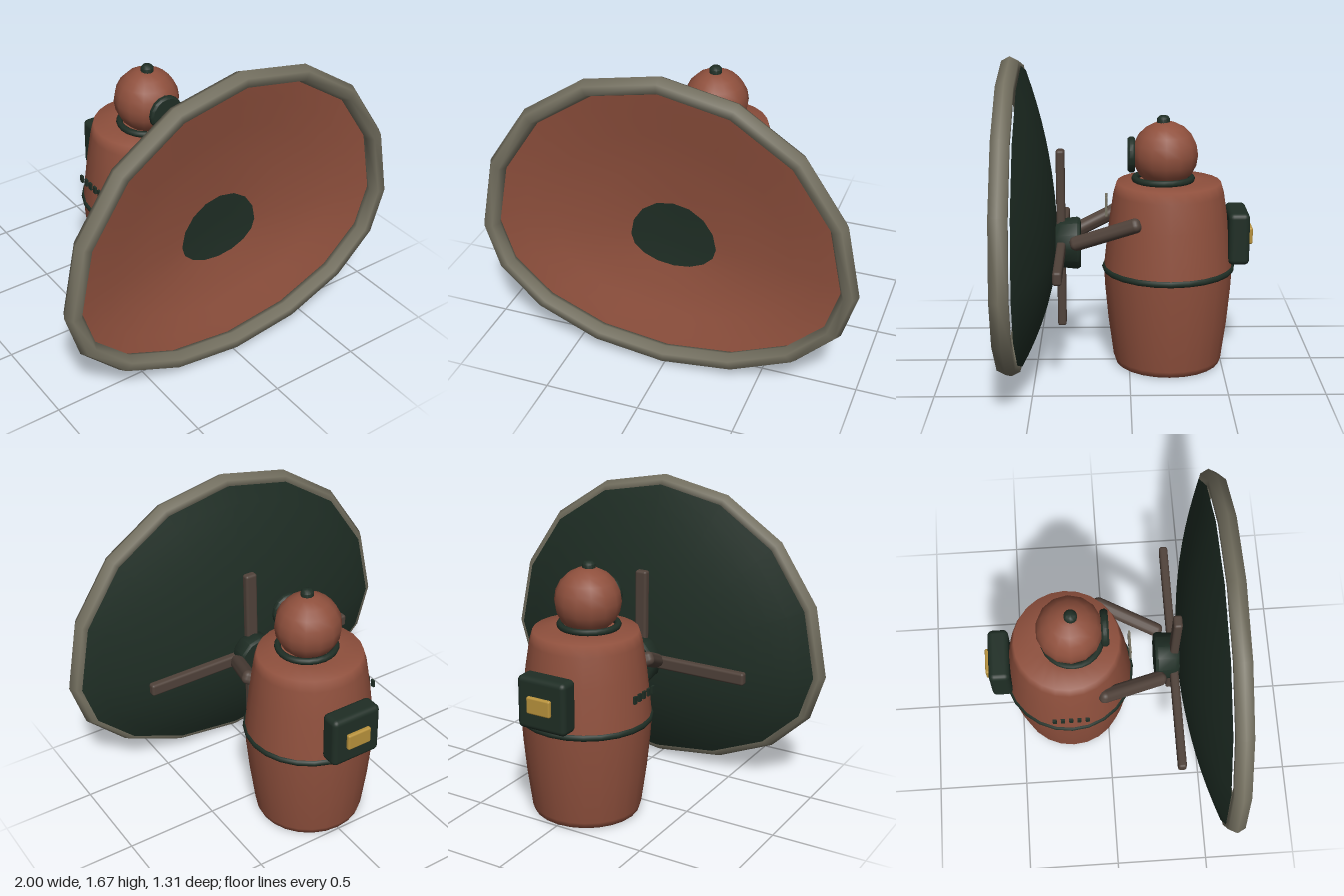
import * as THREE from 'three';
import { toCreasedNormals } from 'three/addons/utils/BufferGeometryUtils.js';
import { RoundedBoxGeometry } from 'three/addons/geometries/RoundedBoxGeometry.js';

const paint = (name, color) => {
  const m = new THREE.MeshStandardMaterial({ color });
  m.name = name;
  return m;
};
const V = (x, y, z) => new THREE.Vector3(x, y, z);
const points = pts => pts.map(p => new THREE.Vector2(...p));

export function createModel() {
  const red = paint('rust red', 0x8f503d);
  const green = paint('dark green', 0x1f2e25);
  const stone = paint('stone grey', 0x757161);
  const brown = paint('dark brown', 0x50423a);
  const gold = paint('gold', 0xb8923c);

  const model = new THREE.Group();
  model.name = 'dishCarrier';
  const add = (name, geo, mat, x = 0, y = 0, z = 0, parent = model) => {
    const mesh = new THREE.Mesh(geo, mat);
    mesh.name = name;
    mesh.position.set(x, y, z);
    parent.add(mesh);
    return mesh;
  };
  const smoothLathe = (pts, seg) => new THREE.LatheGeometry(points(pts), seg);
  const lathe = (pts, seg) => toCreasedNormals(smoothLathe(pts, seg), 0.8);
  // Rounded bar between two points
  const bar = (name, a, b, width, depth, radius) => {
    const mid = a.clone().add(b).multiplyScalar(0.5);
    const geo = new RoundedBoxGeometry(width, a.distanceTo(b), depth, 3, radius);
    const mesh = add(name, geo, brown, mid.x, mid.y, mid.z);
    mesh.quaternion.setFromUnitVectors(V(0, 1, 0), b.clone().sub(a).normalize());
  };
  const ring = (name, r, tube, y, z) =>
    add(name, new THREE.TorusGeometry(r, tube, 8, 24).rotateX(Math.PI / 2), green, 0, y, z);

  // Barrel body with soft shoulders
  const BZ = -0.21;
  add('lowerBody', smoothLathe([[0, 0.003], [0.25, 0.003], [0.283, 0.008], [0.294, 0.04],
    [0.322, 0.25], [0.339, 0.43], [0.345, 0.54]], 24), red, 0, 0, BZ);
  add('upperBody', smoothLathe([[0.345, 0.54], [0.337, 0.62], [0.316, 0.8], [0.293, 0.95],
    [0.276, 1.007], [0.16, 1.012], [0, 1.012]], 24), red, 0, 0, BZ);
  ring('belt', 0.337, 0.019, 0.541, BZ);

  // Neck, head, top knob and front lens
  const HZ = -0.18;
  ring('neckRing', 0.151, 0.018, 1.025, HZ);
  add('head', new THREE.SphereGeometry(0.175, 14, 10), red, 0, 1.155, HZ - 0.01);
  add('headKnob', lathe([[0, 1.31], [0.034, 1.312], [0.034, 1.345], [0.022, 1.358], [0, 1.36]], 12), green, 0, 0, HZ);
  const lens = add('lens', lathe([[0, -0.027], [0.088, -0.027], [0.096, -0.018], [0.096, 0], [0.086, 0.011], [0, 0.011]], 16),
    green, 0, 1.152, -0.003);
  lens.rotation.x = Math.PI / 2;

  // Backpack with gold plate
  add('backpack', new RoundedBoxGeometry(0.285, 0.28, 0.112, 3, 0.028), green, 0, 0.72, -0.577);
  add('backpackPlate', new RoundedBoxGeometry(0.14, 0.09, 0.026, 3, 0.01), gold, 0, 0.722, -0.643);

  // Small plain marks on the chest and side
  for (let i = 0; i < 3; i++)
    add('chestMark', new THREE.BoxGeometry(0.03, 0.1, 0.012), stone, (i - 1) * 0.045, 0.88, 0.122);
  for (let i = 0; i < 5; i++)
    add('sideMark', new THREE.BoxGeometry(0.012, 0.04, 0.022), green, -0.35, 0.715, -0.3 + i * 0.044);

  // Arms holding the hub
  for (const s of [-1, 1])
    bar('arm', V(s * 0.27, 0.845, -0.055), V(s * 0.13, 0.695, 0.305), 0.075, 0.075, 0.03);
  const hub = add('hub', lathe([[0, -0.065], [0.135, -0.065], [0.145, -0.05], [0.135, 0.04],
    [0.115, 0.065], [0, 0.065]], 12), green, 0, 0.67, 0.325);
  hub.rotation.x = Math.PI / 2;
  hub.scale.x = 0.9;

  // Flat cross bars behind the dish
  bar('verticalBar', V(0, 0.21, 0.363), V(0, 1.18, 0.363), 0.07, 0.046, 0.014);
  bar('horizontalBar', V(-0.64, 0.67, 0.36), V(0.64, 0.67, 0.36), 0.07, 0.046, 0.014);

  // Dish: deep back shell and shallower front face, lower half squashed
  const SQUASH = 0.64, SEG = 16;
  const dish = new THREE.Group();
  dish.name = 'dish';
  dish.position.y = 0.67;
  model.add(dish);
  const shell = profile => {
    const geo = new THREE.LatheGeometry(points(profile), SEG).rotateX(Math.PI / 2);
    const p = geo.attributes.position;
    for (let i = 0; i < p.count; i++) if (p.getY(i) < 0) p.setY(i, p.getY(i) * SQUASH);
    return toCreasedNormals(geo, 1.2);
  };
  const back = Array.from({ length: 11 }, (_, i) => [i * 0.095, 0.387 + 0.19 * (i * 0.095) ** 2]);
  add('dishBack', shell(back), green, 0, 0, 0, dish);
  add('dishFace', shell([[0.94, 0.578], [0.8, 0.556], [0.65, 0.526], [0.45, 0.494], [0.23, 0.472]]),
    red, 0, 0, 0, dish);
  add('dishCentre', shell([[0.23, 0.472], [0.12, 0.467], [0, 0.465]]), green, 0, 0, 0, dish);

  // Rim tube follows the squashed outline at constant thickness
  const RIM = 0.954, rimGeo = new THREE.TorusGeometry(RIM, 0.046, 6, SEG);
  const p = rimGeo.attributes.position;
  for (let i = 0; i < p.count; i++) {
    const y = p.getY(i), rho = Math.hypot(p.getX(i), y);
    if (y < 0) p.setY(i, (y / rho) * (RIM * SQUASH + rho - RIM));
  }
  rimGeo.scale(1, 1, 1.12);
  add('dishRim', toCreasedNormals(rimGeo, 1.2), stone, 0, 0, 0.614, dish);

  return model;
}
